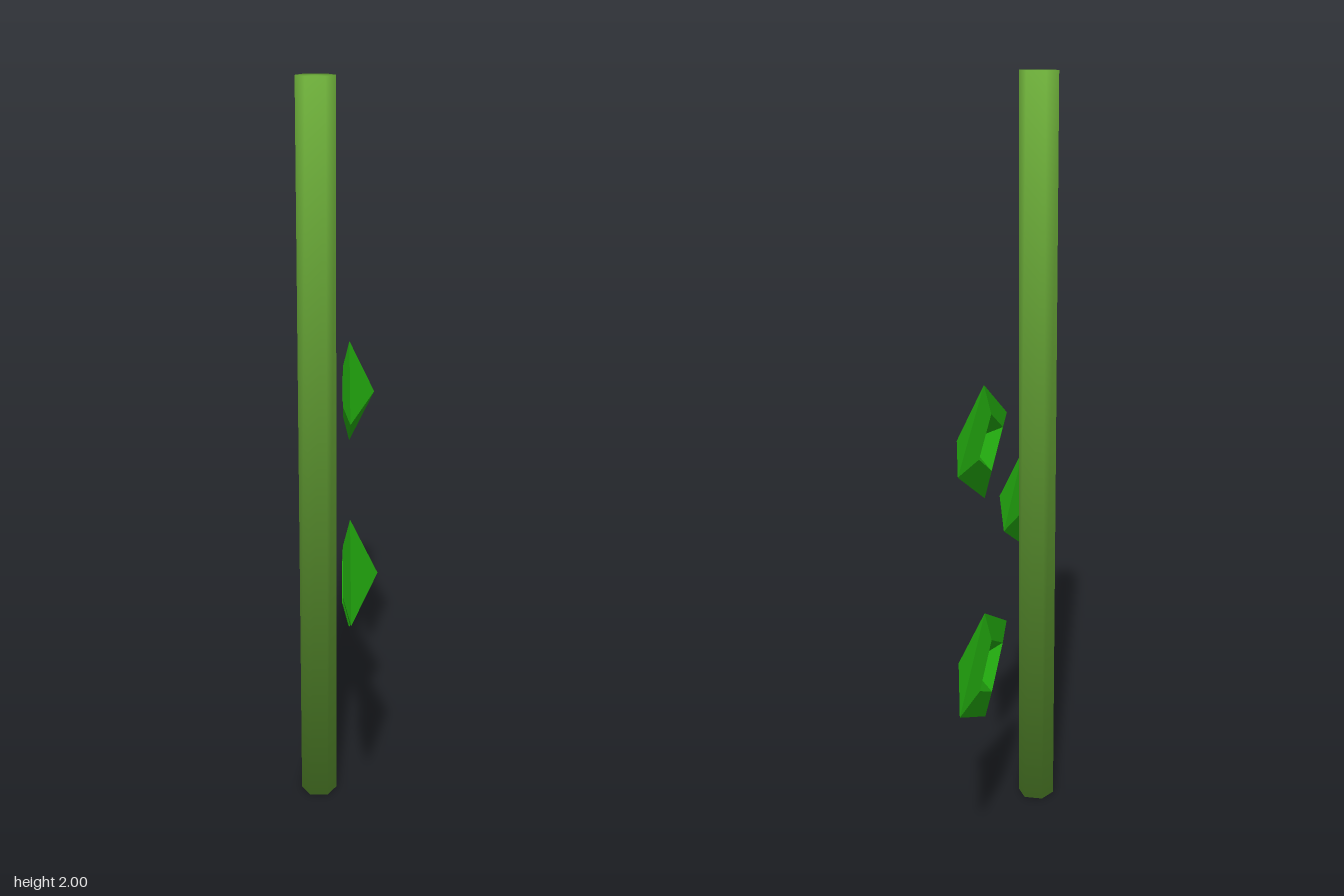
import * as THREE from 'three';

const stemGreen = new THREE.MeshStandardMaterial({ color: 0x6aaa38 });
stemGreen.name = 'stemGreen';
const leafGreen = new THREE.MeshStandardMaterial({ color: 0x24b010 });
leafGreen.name = 'leafGreen';

// Six-sided stem whose normals blend softly over its ends
function makeStem() {
  const geo = new THREE.CylinderGeometry(0.05, 0.05, 2, 6);
  geo.rotateY(Math.PI / 6);
  const pos = geo.attributes.position;
  const n = new THREE.Vector3();
  for (let i = 0; i < pos.count; i++) {
    n.set(pos.getX(i) / 0.05, 0.77 * Math.sign(pos.getY(i)), pos.getZ(i) / 0.05).normalize();
    geo.attributes.normal.setXYZ(i, n.x, n.y, n.z);
  }
  const stem = new THREE.Mesh(geo, stemGreen);
  stem.name = 'stem';
  stem.position.set(-0.055, 1, 0.02);
  return stem;
}

// Faceted diamond leaf: raised point outside, bevelled rim and hollow on the back
function makeLeafGeometry() {
  const ring = (x, s) => [[x, 0, 0.293 * s], [x, -0.146 * s, 0], [x, 0, -0.293 * s], [x, 0.146 * s, 0]];
  const sections = [ring(0.07, 0), ring(0, 1), ring(-0.018, 0.5), ring(0.045, 0)];
  const verts = [];
  for (let k = 0; k < 3; k++) {
    const a = sections[k], b = sections[k + 1];
    for (let i = 0; i < 4; i++) {
      const j = (i + 1) % 4;
      if (k > 0) verts.push(...a[i], ...b[j], ...a[j]);
      if (k < 2) verts.push(...a[i], ...b[i], ...b[j]);
    }
  }
  const geo = new THREE.BufferGeometry();
  geo.setAttribute('position', new THREE.Float32BufferAttribute(verts, 3));
  geo.computeVertexNormals();
  return geo;
}

export function createModel() {
  const model = new THREE.Group();
  model.name = 'stalk';
  model.add(makeStem());

  // Three leaves on alternating sides
  const leafGeo = makeLeafGeometry();
  const leaves = [
    ['upperLeaf', 0.032, 1.118, -0.252],
    ['middleLeaf', 0.029, 0.802, 0.272],
    ['lowerLeaf', 0.031, 0.521, -0.268],
  ];
  for (const [name, x, y, z] of leaves) {
    const leaf = new THREE.Mesh(leafGeo, leafGreen);
    leaf.name = name;
    leaf.position.set(x, y, z);
    model.add(leaf);
  }
  return model;
}
